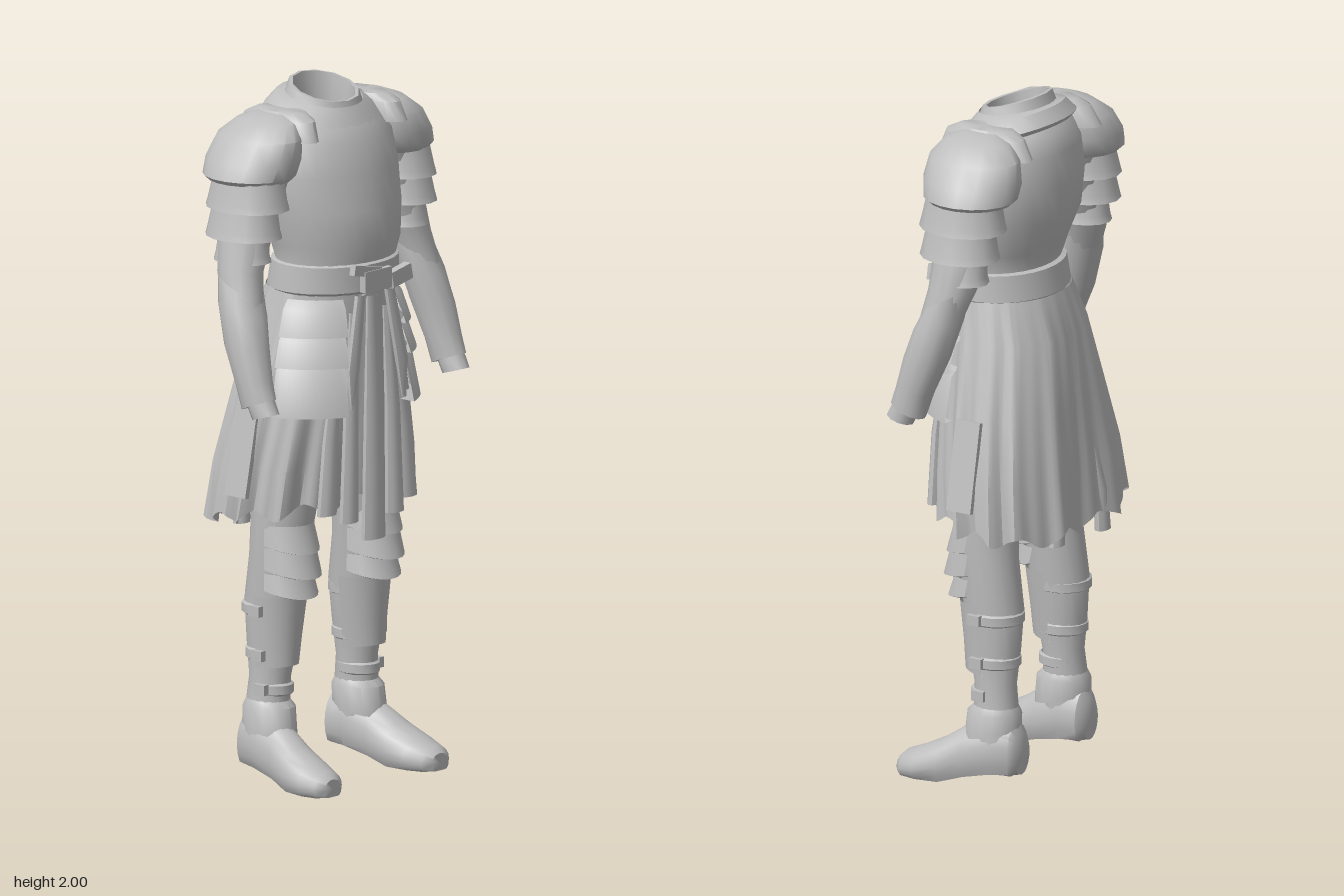
import * as THREE from 'three';
import { toCreasedNormals } from 'three/addons/utils/BufferGeometryUtils.js';

const steel = new THREE.MeshStandardMaterial({ color: 0xbdbdbd, side: THREE.DoubleSide });
steel.name = 'plain grey';

// Surface through rings [x, y, z, rx, rz, tilt], listed from top to bottom.
// a0..a1 limits the arc (0 faces the front, +x); shape(a, ringFraction) returns {s, dy}.
function loft(rings, { seg = 20, a0 = 0, a1 = Math.PI * 2, top = false, bottom = false, shape } = {}) {
  const closed = a1 - a0 > 6.28, n = closed ? seg : seg + 1;
  const pos = [], idx = [];
  rings.forEach(([x, y, z, rx, rz, tilt = 0], i) => {
    for (let j = 0; j < n; j++) {
      const a = a0 + (a1 - a0) * j / seg;
      const { s, dy } = shape ? shape(a, i / (rings.length - 1)) : { s: 1, dy: 0 };
      pos.push(x + rx * s * Math.cos(a), y + tilt * Math.cos(a) + dy, z + rz * s * Math.sin(a));
    }
  });
  for (let i = 0; i < rings.length - 1; i++) {
    for (let j = 0; j < seg; j++) {
      const k = (j + 1) % n, A = i * n + j, B = i * n + k, C = A + n, D = B + n;
      idx.push(A, B, C, B, D, C);
    }
  }
  const cap = (i, flip) => {
    const c = pos.length / 3;
    pos.push(rings[i][0], rings[i][1], rings[i][2]);
    for (let j = 0; j < seg; j++) {
      const p = i * n + j, q = i * n + (j + 1) % n;
      idx.push(c, flip ? p : q, flip ? q : p);
    }
  };
  if (top) cap(0, false);
  if (bottom) cap(rings.length - 1, true);
  const g = new THREE.BufferGeometry();
  g.setAttribute('position', new THREE.Float32BufferAttribute(pos, 3));
  g.setIndex(idx);
  return g;
}

export function createModel() {
  const root = new THREE.Group();
  root.name = 'headlessArmour';
  const add = (name, geo, crease = 0.75) => {
    const m = new THREE.Mesh(toCreasedNormals(geo, crease), steel);
    m.name = name;
    root.add(m);
  };
  const box = (name, w, h, d, x, y, z, rx = 0) =>
    add(name, new THREE.BoxGeometry(w, h, d).rotateX(rx).translate(x, y, z));

  // Breastplate and backplate
  add('cuirass', loft([
    [-0.01, 1.92, 0, 0.11, 0.13], [-0.01, 1.895, 0, 0.135, 0.18], [0, 1.84, 0, 0.16, 0.22],
    [0.005, 1.75, 0, 0.175, 0.235], [0.02, 1.65, 0, 0.185, 0.222], [0.043, 1.55, 0, 0.168, 0.2],
    [0.045, 1.49, 0, 0.15, 0.185], [0.035, 1.4, 0, 0.155, 0.195],
  ], { seg: 32 }));

  // Neck guard with a hollow, forward-sloping opening
  add('gorget', loft([
    [0, 1.95, 0, 0.105, 0.115, -0.02], [0, 1.935, 0, 0.125, 0.155, -0.035],
    [-0.003, 1.895, 0, 0.15, 0.195, -0.04], [-0.003, 1.88, 0, 0.14, 0.18, -0.04],
  ], { seg: 24 }));
  add('collar', loft([
    [0, 1.72, 0, 0.08, 0.085], [0, 1.9, 0, 0.08, 0.085, -0.02], [0, 1.972, 0, 0.085, 0.095, -0.028],
    [0, 1.972, 0, 0.095, 0.106, -0.028], [0, 1.935, 0, 0.108, 0.12, -0.03], [0, 1.88, 0, 0.13, 0.14, -0.03],
  ], { seg: 12, top: true }));

  // Belt with a knotted front
  add('belt', loft([
    [0.045, 1.5, 0, 0.152, 0.186], [0.042, 1.495, 0, 0.165, 0.196],
    [0.035, 1.42, 0, 0.17, 0.203], [0.035, 1.41, 0, 0.155, 0.19],
  ], { seg: 28 }));
  box('buckle', 0.02, 0.06, 0.11, 0.21, 1.45, 0.01);
  box('beltKnot', 0.025, 0.045, 0.08, 0.205, 1.445, -0.09, 0.2);
  box('beltTail', 0.02, 0.03, 0.11, 0.207, 1.48, 0.05, -0.2);

  // Pleated skirt, fullest at the back corners and parted at the back centre
  add('skirt', loft([
    [0.02, 1.42, 0, 0.16, 0.195], [0, 1.3, 0, 0.182, 0.225], [-0.018, 1.1, 0, 0.19, 0.277],
    [-0.038, 0.92, 0, 0.192, 0.316], [-0.052, 0.775, 0, 0.192, 0.328, 0.03],
  ], {
    seg: 140,
    shape: (a, t) => ({
      s: 1 + t * (0.045 * Math.cos(a * 14) + 0.03 * Math.cos(a * 23) + 0.08 * Math.sin(2 * a) ** 2
        - 0.2 * Math.exp(-60 * (1 + Math.cos(a)))),
      dy: t === 1 ? 0.018 * Math.sin(a * 11 + 1) : 0,
    }),
  }), 0.6);

  // Folded cloth strip, slim at the top and wider at the hem
  const strip = (name, x, z, y0, y1, w, lean = 0.005) => add(name, loft([
    [x, y0, z * 0.8, 0.008, w * 0.5], [x + lean, (y0 + y1) / 2, z, 0.018, w * 0.8],
    [x + lean, y1, z * 1.1, 0.02, w],
  ], { seg: 10, bottom: true }), 0.6);
  strip('frontPanel', 0.185, 0, 1.4, 0.7, 0.045);
  strip('backStrip', -0.205, 0.1, 0.95, 0.7, 0.03, -0.008);
  strip('backStrip', -0.205, -0.12, 0.95, 0.72, 0.03, -0.008);

  for (const s of [1, -1]) {
    const arc = (p, q) => (s > 0 ? { a0: p, a1: q, seg: 12 } : { a0: -q, a1: -p, seg: 12 });

    // Sloping shoulder plate and overlapping arm lames
    add('pauldron', loft([
      [-0.01, 1.93, s * 0.205, 0.05, 0.03], [-0.01, 1.912, s * 0.222, 0.1, 0.062],
      [-0.015, 1.87, s * 0.247, 0.137, 0.097], [-0.02, 1.81, s * 0.268, 0.146, 0.121],
      [-0.022, 1.765, s * 0.282, 0.137, 0.126], [-0.022, 1.752, s * 0.282, 0.122, 0.112],
    ], { seg: 18, top: true }));
    add('shoulderRim', loft([
      [-0.005, 1.935, s * 0.17, 0.085, 0.04], [-0.005, 1.915, s * 0.175, 0.125, 0.055],
      [-0.01, 1.86, s * 0.182, 0.15, 0.062],
    ], { seg: 20, top: true }));
    [[1.775, 1.675, 0.302, 0.108, 0.126, 0.098], [1.69, 1.595, 0.318, 0.1, 0.115, 0.09],
      [1.61, 1.525, 0.323, 0.08, 0.085, 0.066]].forEach(([y0, y1, z, r0, r1, rz]) =>
      add('armLame', loft([
        [-0.01, y0, s * (z - 0.005), r0, rz - 0.01], [-0.01, y1 + 0.02, s * z, r1, rz],
        [-0.01, y1, s * z, r1 + 0.005, rz + 0.006], [-0.01, y1 + 0.005, s * z, r1 - 0.02, rz - 0.02],
      ], { seg: 14 })));

    // Sleeve, forearm guard and open cuff
    add('sleeve', loft([
      [-0.01, 1.8, s * 0.25, 0.1, 0.09], [-0.01, 1.6, s * 0.31, 0.08, 0.075],
      [0, 1.5, s * 0.343, 0.07, 0.062], [0.03, 1.4, s * 0.365, 0.06, 0.055],
    ], { seg: 14 }));
    add('forearmGuard', loft([
      [0.01, 1.475, s * 0.352, 0.065, 0.064, -0.035], [0.03, 1.4, s * 0.366, 0.073, 0.067, -0.02],
      [0.06, 1.3, s * 0.381, 0.068, 0.06], [0.095, 1.2, s * 0.388, 0.055, 0.05, 0.01],
      [0.115, 1.14, s * 0.39, 0.052, 0.045, 0.02], [0.115, 1.14, s * 0.39, 0.035, 0.03, 0.015],
    ], { seg: 12 }));
    add('cuff', loft([
      [0.115, 1.16, s * 0.39, 0.04, 0.036, 0.015], [0.142, 1.108, s * 0.39, 0.04, 0.036, 0.012],
      [0.142, 1.113, s * 0.39, 0.03, 0.028, 0.01], [0.125, 1.15, s * 0.39, 0.025, 0.02],
    ], { seg: 10, bottom: true }));

    // Hip plates in three flared tiers
    [[1.4, 1.3, 0.2, 0.235], [1.315, 1.215, 0.212, 0.255], [1.23, 1.075, 0.218, 0.27]].forEach(([y0, y1, rx, rz]) =>
      add('hipPlate', loft([
        [0.01, y0, 0, rx - 0.03, rz - 0.03], [0.01, y0 - 0.025, 0, rx - 0.005, rz - 0.005],
        [0.01, y1, 0, rx + 0.02, rz + 0.02], [0.01, y1 + 0.005, 0, rx - 0.02, rz - 0.02],
      ], arc(0.48, 1.35))));

    // Pointed straps and long cloth strips
    add('hangingStrap', loft([
      [0.195, 1.41, s * 0.06, 0.012, 0.018], [0.205, 1.2, s * 0.1, 0.012, 0.024],
      [0.205, 1.09, s * 0.105, 0.003, 0.003],
    ], { seg: 6, bottom: true }));
    strip('frontStrip', 0.178, s * 0.085, 1.36, 0.76, 0.034);
    strip('frontStrip', 0.16, s * 0.15, 1.2, 0.79, 0.036);
    box('sideStrip', 0.08, 0.26, 0.015, -0.02, 0.97, s * 0.312, s * -0.2);

    // Leg
    add('leg', loft([
      [0, 1.0, s * 0.15, 0.1, 0.095], [0, 0.78, s * 0.165, 0.092, 0.092], [-0.015, 0.65, s * 0.17, 0.085, 0.08],
      [-0.03, 0.52, s * 0.172, 0.09, 0.076], [-0.035, 0.4, s * 0.175, 0.078, 0.064],
      [-0.04, 0.3, s * 0.178, 0.062, 0.055], [-0.045, 0.22, s * 0.182, 0.066, 0.058],
      [-0.045, 0.1, s * 0.187, 0.07, 0.062],
    ], { seg: 18 }));

    // Knee lames and shin plate
    [[0.75, 0.67, 0.1], [0.685, 0.6, 0.11], [0.61, 0.54, 0.093]].forEach(([y0, y1, r]) =>
      add('kneeLame', loft([
        [0, y0, s * 0.17, r - 0.008, 0.083], [0.005, y1 + 0.025, s * 0.17, r + 0.01, 0.09, -0.025],
        [0.005, y1 + 0.02, s * 0.17, r - 0.02, 0.073, -0.025],
      ], { a0: -1.5, a1: 1.5, seg: 12 })));
    add('shinPlate', loft([
      [-0.025, 0.54, s * 0.172, 0.094, 0.085], [-0.03, 0.42, s * 0.175, 0.086, 0.073],
      [-0.03, 0.33, s * 0.178, 0.08, 0.065, 0.01], [-0.03, 0.33, s * 0.178, 0.06, 0.05, 0.01],
    ], { a0: -1.6, a1: 1.6, seg: 14 }));
    for (const [y, r] of [[0.5, 0.082], [0.37, 0.072], [0.27, 0.06]]) {
      add('legStrap', loft([
        [-0.035, y + 0.015, s * 0.177, r, r - 0.01], [-0.035, y + 0.01, s * 0.177, r + 0.007, r - 0.003],
        [-0.035, y - 0.015, s * 0.177, r + 0.007, r - 0.003], [-0.035, y - 0.02, s * 0.177, r, r - 0.01],
      ], { seg: 16 }));
      box('strapBuckle', 0.04, 0.03, 0.018, -0.02, y, s * (0.177 + r));
    }
    add('bootCuff', loft([
      [-0.045, 0.235, s * 0.182, 0.064, 0.057], [-0.04, 0.215, s * 0.182, 0.08, 0.068],
      [-0.035, 0.15, s * 0.185, 0.084, 0.071, -0.02],
    ], { seg: 16 }));

    // Boot foot, lofted from heel to toe, then pressed onto a flat sole that drops at the ball
    const foot = loft([
      [0.1, 0.128, s * 0.18, 0.06, 0.04], [0.1, 0.112, s * 0.18, 0.09, 0.058],
      [0.1, 0.05, s * 0.185, 0.1, 0.066], [0.072, -0.03, s * 0.195, 0.098, 0.064],
      [0.046, -0.1, s * 0.207, 0.077, 0.073], [0.03, -0.17, s * 0.216, 0.058, 0.074],
      [0.022, -0.22, s * 0.22, 0.046, 0.058], [0.02, -0.24, s * 0.22, 0.03, 0.035],
    ], { seg: 20, top: true, bottom: true }).rotateZ(Math.PI / 2);
    const p = foot.attributes.position;
    for (let i = 0; i < p.count; i++) {
      const sole = THREE.MathUtils.clamp(0.04 - (p.getX(i) + 0.02) * 0.35, 0, 0.04);
      p.setY(i, Math.max(p.getY(i), sole));
    }
    add('bootFoot', foot);
  }
  return root;
}
